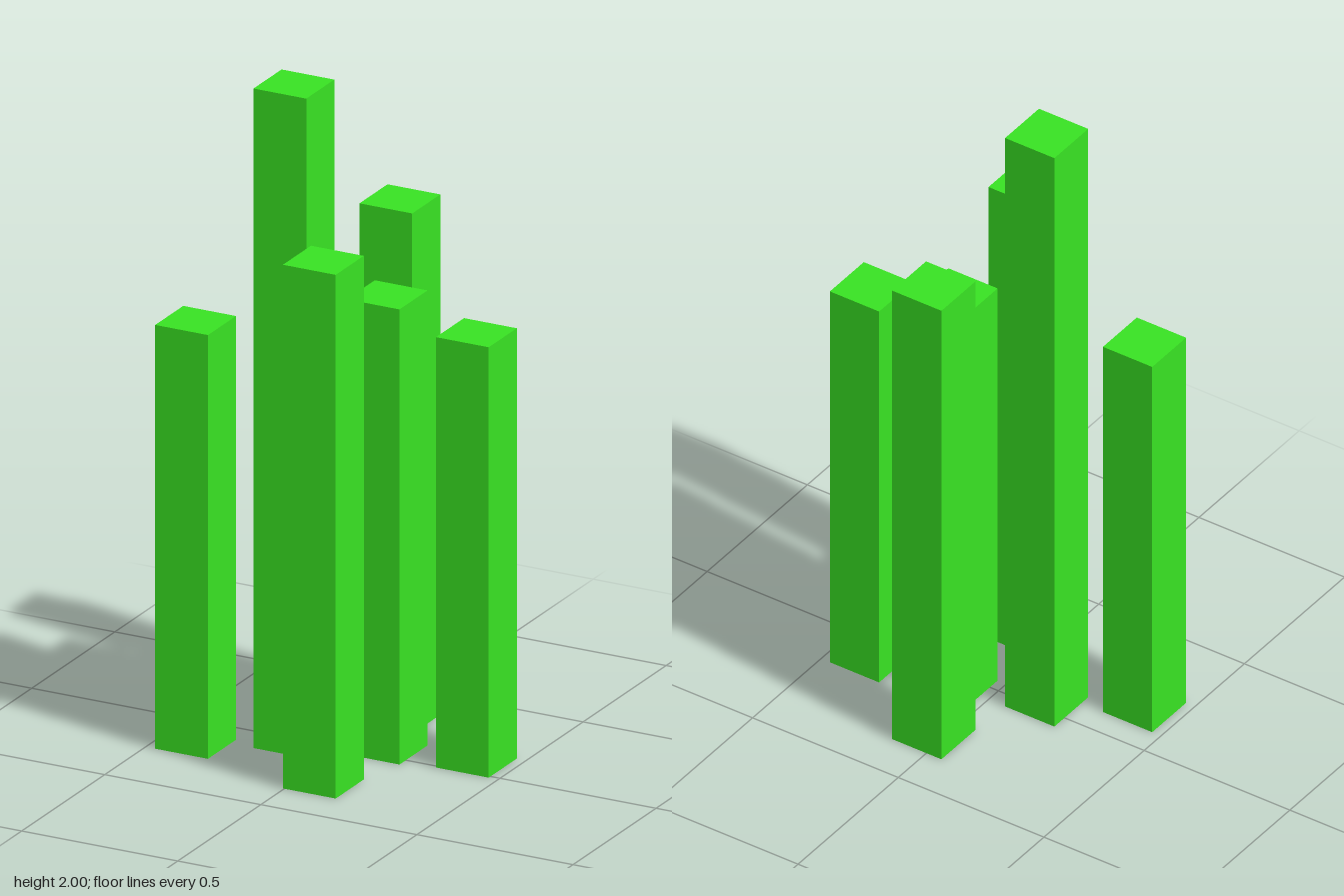
import * as THREE from 'three';

export function createModel() {
  const model = new THREE.Group();
  model.name = 'grassTuft';

  const green = new THREE.MeshStandardMaterial({ color: 0x39e323 });
  green.name = 'grass green';

  // Square upright blades: centre x, centre z, height
  const width = 0.169;
  const blades = [
    [-0.385, 0.169, 1.285],
    [-0.142, 0.034, 2.0],
    [0.033, -0.275, 1.578],
    [0.08, 0.274, 1.588],
    [0.114, -0.046, 1.38],
    [0.385, -0.074, 1.305],
  ];
  blades.forEach(([x, z, height], i) => {
    const blade = new THREE.Mesh(new THREE.BoxGeometry(width, height, width), green);
    blade.name = `blade${i + 1}`;
    blade.position.set(x, height / 2, z);
    model.add(blade);
  });

  return model;
}
